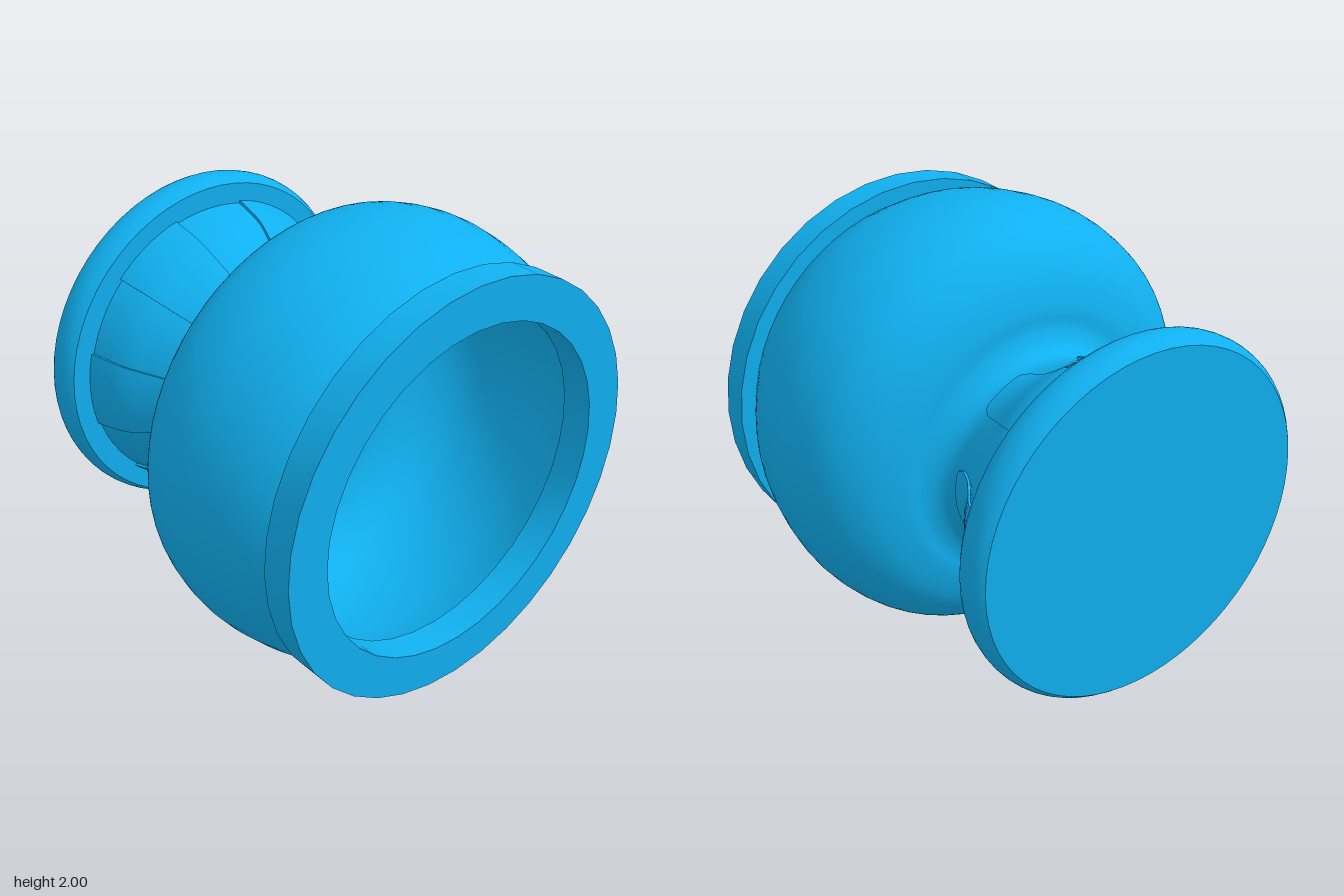
import * as THREE from 'three';
import { toCreasedNormals } from 'three/addons/utils/BufferGeometryUtils.js';

const material = new THREE.MeshStandardMaterial({ color: 0x10b0f0 });

// Smooth profile through [radius, z] points
const smooth = (pts, n) =>
  new THREE.SplineCurve(pts.map(([r, z]) => new THREE.Vector2(r, z))).getPoints(n);

// Mesh turned around the z axis
function turned(name, pts, segments) {
  const profile = pts.map((p) => (p.isVector2 ? p : new THREE.Vector2(p[0], p[1])));
  const geometry = new THREE.LatheGeometry(profile, segments).rotateX(Math.PI / 2);
  const mesh = new THREE.Mesh(toCreasedNormals(geometry, 0.45), material);
  mesh.name = name;
  return mesh;
}

// Outer wall, from the foot to the mouth
const outer = smooth([
  [0.69, -0.76], [0.645, -0.6], [0.575, -0.49], [0.505, -0.38], [0.465, -0.26],
  [0.49, -0.19], [0.56, -0.152], [0.66, -0.142], [0.8, -0.095], [0.92, 0.005],
  [0.98, 0.14], [1, 0.34], [0.955, 0.59], [0.865, 0.785],
], 80);

// Inner wall, from the mouth to the floor
const inner = smooth([
  [0.81, 0.79], [0.9, 0.57], [0.94, 0.34], [0.925, 0.16], [0.87, 0.04],
  [0.77, -0.045], [0.65, -0.09], [0.54, -0.105], [0.45, -0.16], [0.42, -0.26],
  [0.46, -0.39], [0.53, -0.5], [0.6, -0.62], [0.64, -0.755],
], 80);

// Outer radius at a given z
function radiusAt(z) {
  let i = 1;
  while (i < outer.length - 1 && outer[i].y < z) i++;
  const a = outer[i - 1], b = outer[i];
  return a.x + ((b.x - a.x) * (z - a.y)) / (b.y - a.y);
}

// Raised panel following the foot, with rounded corners at the neck end
function panelGeometry() {
  const nu = 18, nv = 18, half = 0.264, corner = 0.05;
  const geometry = new THREE.PlaneGeometry(1, 1, nu, nv);
  const pos = geometry.attributes.position;
  for (let i = 0; i < pos.count; i++) {
    const ix = i % (nu + 1), iy = Math.floor(i / (nu + 1));
    // The outermost ring is folded down into the wall
    const border = ix === 0 || ix === nu || iy === 0 || iy === nv;
    const u = THREE.MathUtils.clamp((ix - 1) / (nu - 2), 0, 1) * 2 - 1;
    const v = THREE.MathUtils.clamp((iy - 1) / (nv - 2), 0, 1);
    const d = Math.max(0, Math.abs(u) * 0.125 - (0.125 - corner));
    const start = -0.26 - corner + Math.sqrt(Math.max(0, corner * corner - d * d));
    const z = THREE.MathUtils.lerp(start, -0.757, v);
    const r = radiusAt(z) + (border ? -0.015 : 0.012);
    pos.setXYZ(i, r * Math.cos(u * half), r * Math.sin(u * half), z);
  }
  return toCreasedNormals(geometry, 0.6);
}

export function createModel() {
  const model = new THREE.Group();
  model.name = 'cup';

  model.add(turned('outerWall', outer, 64));
  model.add(turned('innerWall', inner, 64));

  // Flat ring around the mouth
  model.add(turned('rim', [[0.75, 0.78], [0.94, 0.78], [0.94, 0.92], [0.75, 0.92], [0.75, 0.78]], 36));

  // Solid base disc with a rounded edge, also the inner floor
  const edge = smooth([[0.78, -0.92], [0.805, -0.89], [0.815, -0.84], [0.807, -0.79], [0.785, -0.755]], 10);
  model.add(turned('base', [[0, -0.92], ...edge, [0, -0.755]], 64));

  // Six panels around the foot
  const geometry = panelGeometry();
  for (let i = 0; i < 6; i++) {
    const panel = new THREE.Mesh(geometry, material);
    panel.name = 'footPanel' + (i + 1);
    panel.rotation.z = (i * Math.PI) / 3;
    model.add(panel);
  }

  // Lift the axis to mid height
  for (const part of model.children) part.position.y = 1;
  return model;
}
